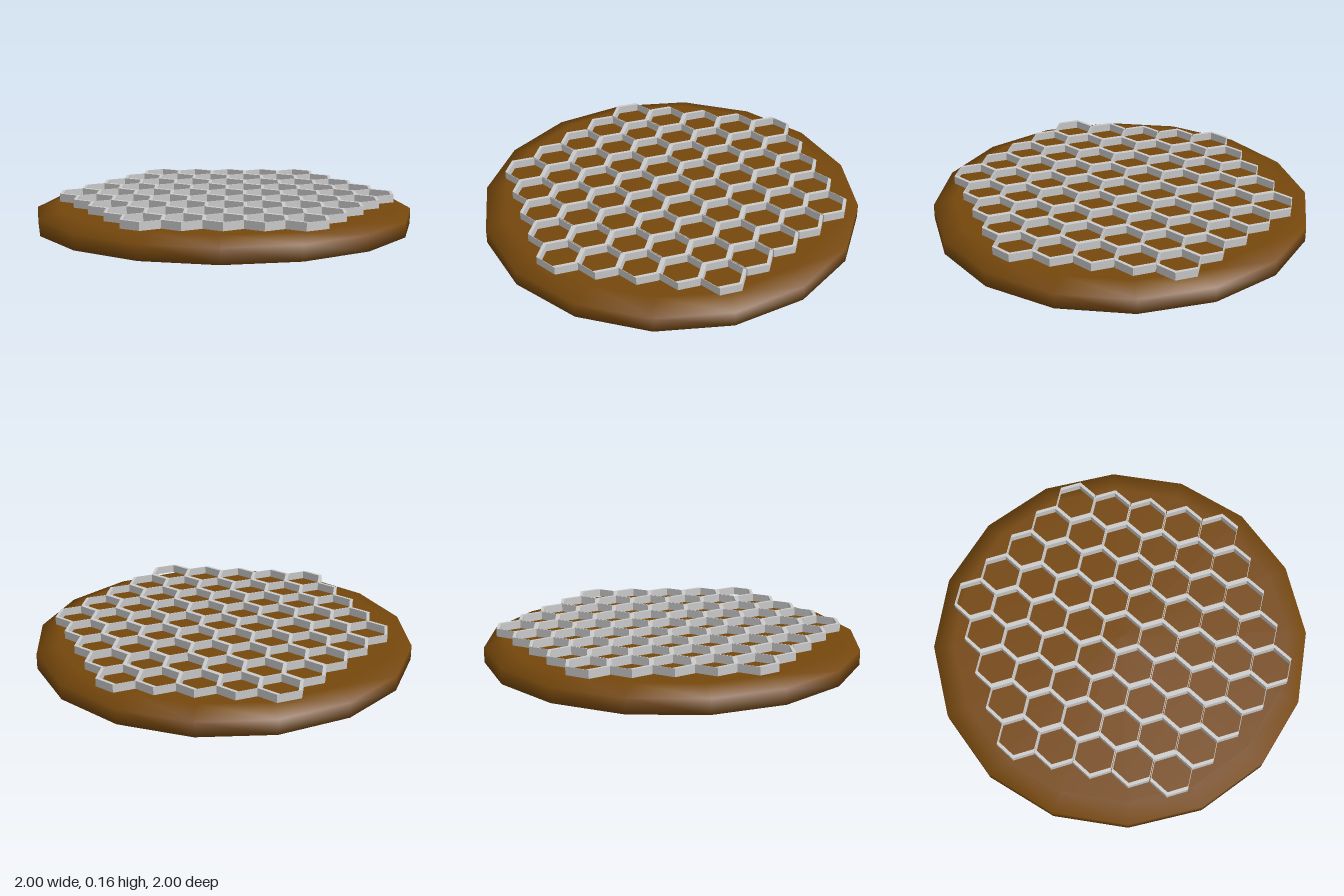
import * as THREE from 'three';
import { mergeGeometries } from 'three/addons/utils/BufferGeometryUtils.js';

// Sixteen-sided disc with a sloping rim, softly shaded round to the underside
function discGeometry() {
  const sides = 16;
  const profile = [[1, 0], [1, 0.08], [0.89, 0.117], [0, 0.12]]
    .map(([r, y]) => new THREE.Vector2(r, y));
  const body = new THREE.LatheGeometry(profile, sides);
  const outline = Array.from({ length: sides }, (_, i) => {
    const a = (i / sides) * Math.PI * 2;
    return new THREE.Vector2(Math.cos(a), Math.sin(a));
  });
  const underside = new THREE.ShapeGeometry(new THREE.Shape(outline));
  underside.rotateX(Math.PI / 2);

  const disc = mergeGeometries([body, underside]);
  const { position, normal } = disc.attributes;
  const n = new THREE.Vector3();
  for (let i = 0; i < position.count; i++) {
    if (position.getY(i) > 1e-6) continue;
    n.set(position.getX(i), -1, position.getZ(i)).normalize();
    normal.setXYZ(i, n.x, n.y, n.z);
  }
  return disc;
}

export function createModel() {
  const model = new THREE.Group();
  model.name = 'honeycombDisc';

  const base = new THREE.Mesh(discGeometry(), new THREE.MeshStandardMaterial({ color: 0x75470c }));
  base.name = 'base';
  model.add(base);

  // One cell: its walls are thick along one slant and very thin along the other
  const halfW = 0.0978, tall = 0.114, rowStep = 0.177;
  const shift = new THREE.Vector2(0.007, 0.004);
  const corners = [
    [-halfW, tall / 2, -1], [-halfW, -tall / 2, -1], [0, -tall, -1],
    [halfW, -tall / 2, 1], [halfW, tall / 2, 1], [0, tall, 1],
  ];
  const ring = (sign, scale) => corners.map(([x, y, side]) =>
    new THREE.Vector2(x, y).addScaledVector(shift, sign * side).multiplyScalar(scale));
  const cellShape = new THREE.Shape(ring(1, 1));
  cellShape.holes.push(new THREE.Path(ring(-1, 0.975).reverse()));
  const cellGeometry = new THREE.ExtrudeGeometry(cellShape, { depth: 0.043, bevelEnabled: false });
  cellGeometry.rotateX(-Math.PI / 2);

  // Hexagonal field of cells: rows of 5 to 9 and back to 5
  const grey = new THREE.MeshStandardMaterial({
    color: 0xcccccc, flatShading: true, side: THREE.DoubleSide });
  const grid = new THREE.Group();
  grid.name = 'honeycomb';
  for (let row = -4; row <= 4; row++) {
    const count = 9 - Math.abs(row);
    for (let i = 0; i < count; i++) {
      const cell = new THREE.Mesh(cellGeometry, grey);
      cell.name = 'cell';
      cell.position.set((2 * i - count + 1) * halfW, 0, row * rowStep);
      grid.add(cell);
    }
  }
  grid.position.set(0.017, 0.119, -0.008);
  model.add(grid);

  return model;
}
